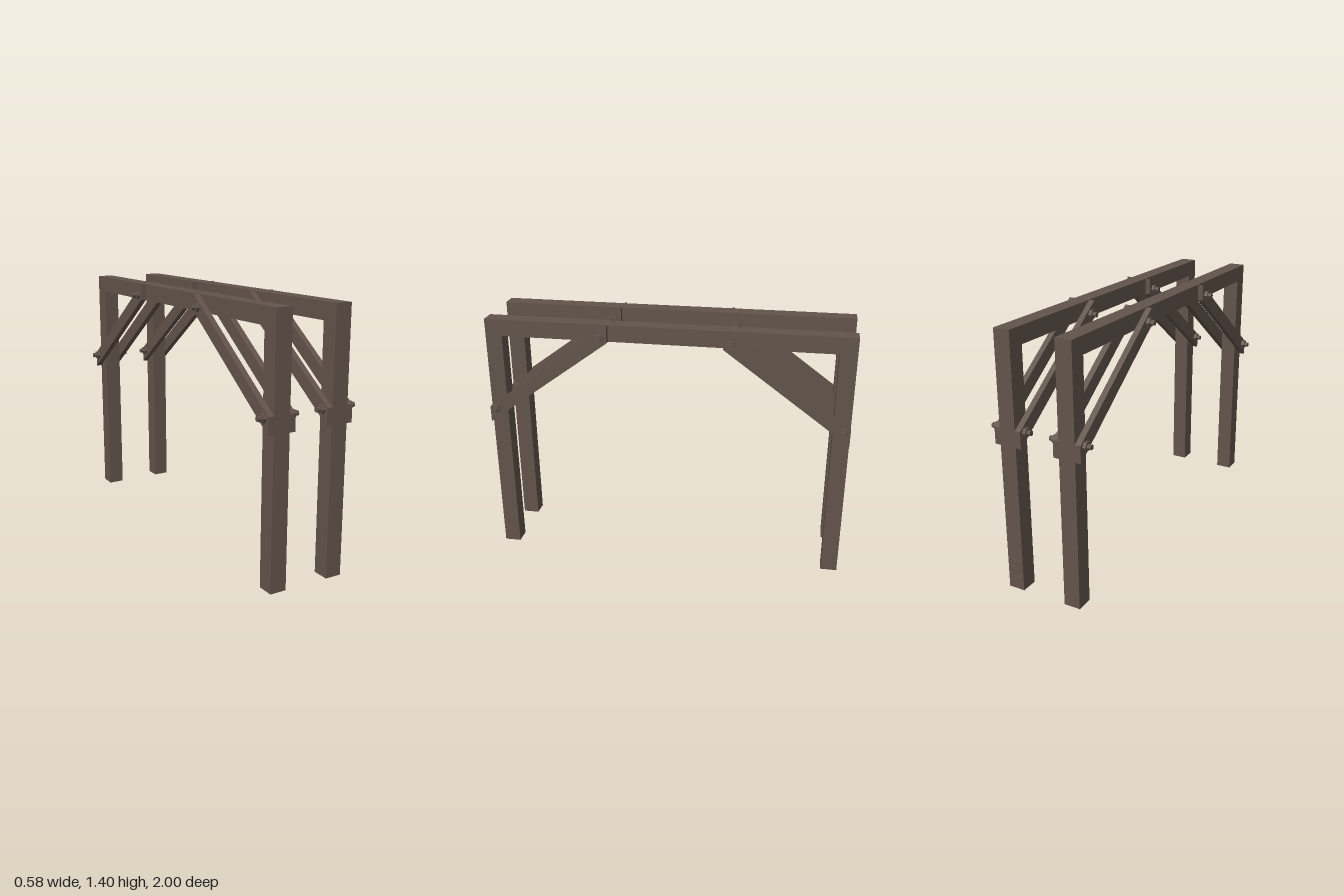
import * as THREE from 'three';

const wood = new THREE.MeshStandardMaterial({ color: 0x62544b, side: THREE.DoubleSide });
wood.name = 'dark brown timber';

const FRAME_X = 0.172, HALF = 0.0455, BRACE = 0.032;

// Extrude a (z, y) outline along x, centred on x = 0
function extrudeAlongX(points, width) {
  const shape = new THREE.Shape(points.map(([z, y]) => new THREE.Vector2(-z, y)));
  const geo = new THREE.ExtrudeGeometry(shape, { depth: width, bevelEnabled: false });
  return geo.translate(0, 0, -width / 2).rotateY(Math.PI / 2);
}

// Leave the feet of the hollow posts open
function openFeet(geo) {
  const p = geo.attributes.position, kept = [];
  for (let i = 0; i < p.count; i += 3) {
    if (Math.max(p.getY(i), p.getY(i + 1), p.getY(i + 2)) < 0.001) continue;
    for (let k = i; k < i + 3; k++) kept.push(p.getX(k), p.getY(k), p.getZ(k));
  }
  const open = new THREE.BufferGeometry();
  open.setAttribute('position', new THREE.Float32BufferAttribute(kept, 3));
  open.computeVertexNormals();
  return open;
}

function add(parent, name, geo, x = 0, y = 0, z = 0) {
  const mesh = new THREE.Mesh(geo, wood);
  mesh.name = name;
  mesh.position.set(x, y, z);
  parent.add(mesh);
}

export function createModel() {
  const model = new THREE.Group();
  model.name = 'timberFrames';

  // Two posts joined by a top beam
  const archGeo = openFeet(extrudeAlongX([
    [1, 0], [1, 1.4], [-1, 1.4], [-1, 0],
    [-0.908, 0], [-0.908, 1.308], [0.908, 1.308], [0.908, 0],
  ], HALF * 2));
  // Hexagonal nut and protruding bolt end
  const nutGeo = new THREE.CylinderGeometry(0.025, 0.025, 0.018, 6).toNonIndexed().rotateZ(Math.PI / 2);
  const boltGeo = new THREE.CylinderGeometry(0.014, 0.014, 0.039, 8).toNonIndexed().rotateZ(Math.PI / 2);
  nutGeo.computeVertexNormals();
  boltGeo.computeVertexNormals();

  for (const side of [-1, 1]) {
    const frame = new THREE.Group();
    frame.name = side > 0 ? 'leftFrame' : 'rightFrame';
    frame.position.x = side * FRAME_X;
    add(frame, 'postsAndBeam', archGeo);

    for (const end of [-1, 1]) {
      // Diagonal brace with upright cut ends
      const braceGeo = extrudeAlongX(
        [[1, 0.807], [1, 0.898], [0.311, 1.4], [0.311, 1.309]].map(([z, y]) => [z * end, y]), BRACE);
      for (const face of [-1, 1]) {
        add(frame, 'brace', braceGeo, face * (HALF + BRACE / 2));
        for (const [z, y] of [[0.349, 1.335], [0.962, 0.886]]) {
          const outer = HALF + BRACE;
          add(frame, 'nut', nutGeo, face * (outer + 0.009), y, z * end);
          add(frame, 'bolt', boltGeo, face * (outer + 0.0195), y, z * end);
        }
      }
    }
    model.add(frame);
  }
  return model;
}
